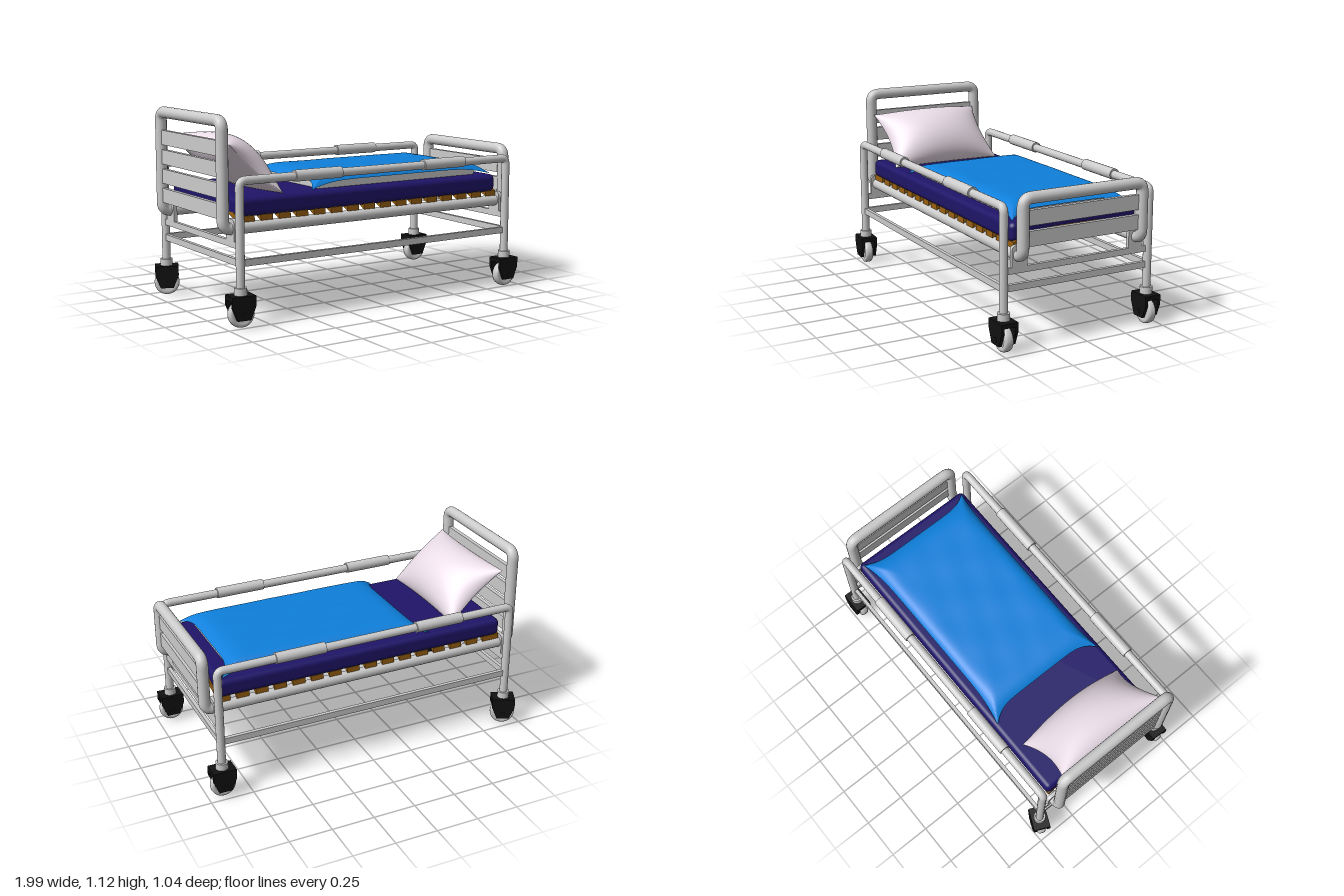
import * as THREE from 'three';
import { RoundedBoxGeometry } from 'three/addons/geometries/RoundedBoxGeometry.js';

const V = (x, y, z) => new THREE.Vector3(x, y, z);
const paint = (color, side = THREE.FrontSide) => new THREE.MeshStandardMaterial({ color, side });

// Polyline with rounded corners
function roundedPath(points, radius, closed = false) {
  const path = new THREE.CurvePath();
  const n = points.length;
  const start = closed ? points[0].clone().lerp(points[n - 1], 0.5) : points[0];
  let from = start;
  for (let i = closed ? 0 : 1; i < (closed ? n : n - 1); i++) {
    const p = points[i];
    const toward = (q) => p.clone().add(q.clone().sub(p).setLength(radius));
    const a = toward(points[(i - 1 + n) % n]);
    const b = toward(points[(i + 1) % n]);
    path.add(new THREE.LineCurve3(from, a));
    path.add(new THREE.QuadraticBezierCurve3(a, p, b));
    from = b;
  }
  path.add(new THREE.LineCurve3(from, closed ? start : points[n - 1]));
  return path;
}

// Soft surface: a grid over u, v in -1..1 (denser at the edges) placed by a rule
function sheet(rule, nu, nv) {
  const geo = new THREE.PlaneGeometry(2, 2, nu, nv);
  const pos = geo.attributes.position;
  for (let i = 0; i < pos.count; i++) {
    const p = rule(Math.sin(pos.getX(i) * Math.PI / 2), Math.sin(pos.getY(i) * Math.PI / 2));
    pos.setXYZ(i, p.x, p.y, p.z);
  }
  geo.computeVertexNormals();
  return geo;
}

export function createModel() {
  const model = new THREE.Group();
  model.name = 'wheeledBed';
  const bed = new THREE.Group();
  bed.name = 'bed';
  bed.position.z = 0.01;
  model.add(bed);

  const grey = paint(0xcccccc);
  const black = paint(0x111111);
  const brown = paint(0x9a6212);
  const navy = paint(0x1f1568);
  const blue = paint(0x0e80dc, THREE.DoubleSide);
  const pink = paint(0xeadde8, THREE.DoubleSide);

  const add = (name, geo, mat, x = 0, y = 0, z = 0, parent = bed) => {
    const mesh = new THREE.Mesh(geo, mat);
    mesh.name = name;
    mesh.position.set(x, y, z);
    parent.add(mesh);
    return mesh;
  };
  const box = (name, w, h, d, x, y, z, mat = grey) => add(name, new THREE.BoxGeometry(w, h, d), mat, x, y, z);

  // Bed frame: one closed tube forming both end hoops and the side tubes
  const hx = -0.965, fx = 0.962, fz = 0.37, low = 0.515, headTop = 1.087, footTop = 0.825;
  const loop = roundedPath([
    V(hx, headTop, fz), V(hx, headTop, -fz), V(hx, low, -fz), V(fx, low, -fz),
    V(fx, footTop, -fz), V(fx, footTop, fz), V(fx, low, fz), V(hx, low, fz),
  ], 0.05, true);
  add('frameTube', new THREE.TubeGeometry(loop, 560, 0.033, 16, true), grey);

  // Boards between the hoop uprights
  for (let i = 0; i < 4; i++) {
    const y = 0.61 + i * 0.111;
    box('headBoard', 0.025, 0.083, 0.72, hx, y, 0);
    if (i < 2) box('footBoard', 0.025, 0.083, 0.72, fx, y, 0);
  }

  // Bowed slats, their middles rising into the mattress
  for (let i = 0; i < 16; i++) {
    const x0 = i === 0 ? -0.89 : -0.857 + i * 0.1116;
    const x1 = -0.782 + i * 0.1116;
    const geo = new THREE.BoxGeometry(x1 - x0, 0.032, 0.77, 1, 1, 16);
    const pos = geo.attributes.position;
    for (let k = 0; k < pos.count; k++) {
      pos.setY(k, pos.getY(k) + 0.055 * (1 - (pos.getZ(k) / 0.385) ** 4));
    }
    geo.computeVertexNormals();
    add('slat', geo, brown, (x0 + x1) / 2, 0.562, 0);
  }

  add('mattress', new RoundedBoxGeometry(1.775, 0.105, 0.79, 5, 0.03), navy, -0.003, 0.625, 0);

  // Side rails with their posts and grip sleeves
  const px = 0.91, pz = 0.454;
  for (const s of [1, -1]) {
    const path = roundedPath([V(-px, 0.2, s * pz), V(-px, 0.78, s * pz), V(px, 0.78, s * pz), V(px, 0.2, s * pz)], 0.035);
    add('sideRail', new THREE.TubeGeometry(path, 240, 0.024, 16), grey);
    for (const x of [-0.43, 0.43]) {
      add('railSleeve', new THREE.CylinderGeometry(0.032, 0.032, 0.295, 20), grey, x, 0.782, s * pz).rotation.z = Math.PI / 2;
    }
    box('lowerSideBar', 2 * px, 0.037, 0.022, 0, 0.344, s * pz);
  }

  // Cross bars, and brackets carrying the frame tube
  const plate = new THREE.Shape();
  plate.moveTo(-0.046, 0).lineTo(0.046, 0).lineTo(0.046, 0.12);
  plate.quadraticCurveTo(0.046, 0.15, 0.016, 0.15).lineTo(-0.016, 0.15);
  plate.quadraticCurveTo(-0.046, 0.15, -0.046, 0.12);
  const bracketGeo = new THREE.ExtrudeGeometry(plate, { depth: 0.022, bevelEnabled: false, curveSegments: 6 });
  bracketGeo.translate(0, 0, -0.011).rotateY(Math.PI / 2);
  for (const x of [-px, px]) {
    box('lowerCrossBar', 0.022, 0.037, 2 * pz, x, 0.344, 0);
    box('upperCrossBar', 0.022, 0.035, 2 * pz, x, 0.436, 0);
    for (const s of [1, -1]) add('bracket', bracketGeo, grey, x, 0.42, s * 0.365);
  }

  // Casters
  const cheek = new THREE.Shape([[-0.068, 0.175], [-0.068, 0.12], [-0.038, 0.045], [0.038, 0.045], [0.068, 0.12], [0.068, 0.175]]
    .reverse().map(([x, y]) => new THREE.Vector2(x, y)));
  const cheekGeo = new THREE.ExtrudeGeometry(cheek, { depth: 0.018, bevelEnabled: false });
  cheekGeo.translate(0, 0, -0.009);
  const wheelGeo = new THREE.LatheGeometry([[0, -0.021], [0.045, -0.021], [0.048, -0.025], [0.062, -0.025], [0.07, -0.019], [0.073, -0.008],
    [0.073, 0.008], [0.07, 0.019], [0.062, 0.025], [0.048, 0.025], [0.045, 0.021], [0, 0.021]]
    .map(([r, y]) => new THREE.Vector2(r, y)), 32);
  wheelGeo.rotateX(Math.PI / 2);
  for (const [x, z, turn] of [[px, pz, 0], [px, -pz, 0], [-px, pz, -0.08], [-px, -pz, -0.42]]) {
    const caster = new THREE.Group();
    caster.name = 'caster';
    caster.position.set(x, 0, z);
    caster.rotation.y = turn;
    bed.add(caster);
    add('casterCollar', new THREE.CylinderGeometry(0.035, 0.035, 0.045, 20), grey, 0, 0.192, 0, caster);
    add('forkTop', new THREE.BoxGeometry(0.136, 0.025, 0.1), black, 0, 0.1625, 0, caster);
    for (const s of [1, -1]) add('forkCheek', cheekGeo, black, 0, 0, s * 0.041, caster);
    add('axle', new THREE.CylinderGeometry(0.015, 0.015, 0.104, 12), black, 0, 0.073, 0, caster).rotation.x = Math.PI / 2;
    add('wheel', wheelGeo, grey, 0, 0.073, 0, caster);
  }

  // Pillow leaning on the headboard: two bulging faces meeting at a seam
  const along = V(0.756, -0.654, 0), across = V(0, 0, -1), out = V(0.654, 0.756, 0);
  const pillow = new THREE.Group();
  pillow.name = 'pillow';
  pillow.position.set(-0.76, 0.82, 0.018);
  bed.add(pillow);
  const face = (height, flip) => sheet((u, v) => {
    const w = v * flip;
    const bulge = Math.max(0, (1 - u * u) * (1 - w * w)) ** 0.55;
    return V(0, 0, 0)
      .addScaledVector(along, 0.215 * u * (1 - 0.05 * (1 - w * w)))
      .addScaledVector(across, 0.355 * w * (1 - 0.1 * (1 - u * u)))
      .addScaledVector(out, height * bulge);
  }, 28, 36);
  add('pillowFront', face(0.15, 1), pink, 0, 0, 0, pillow);
  add('pillowBack', face(-0.07, -1), pink, 0, 0, 0, pillow);

  // Blanket over a flat filler, its corners flaring down to the mattress
  box('blanketFiller', 1.11, 0.045, 0.64, 0.22, 0.695, 0);
  add('blanket', sheet((u, v) => {
    const edge = Math.max(Math.abs(u), Math.abs(v));
    const corner = Math.abs(u * v) ** 8;
    const ripple = 0.002 * Math.sin(9 * u + 3 * v) * Math.sin(8 * v - 2 * u) * (1 - edge ** 4);
    return V(0.22 + 0.575 * u + 0.065 * corner * Math.sign(u),
      0.76 + ripple - 0.04 * edge ** 14 - 0.038 * corner,
      -0.345 * v - 0.03 * corner * Math.sign(v));
  }, 64, 44), blue);

  return model;
}
